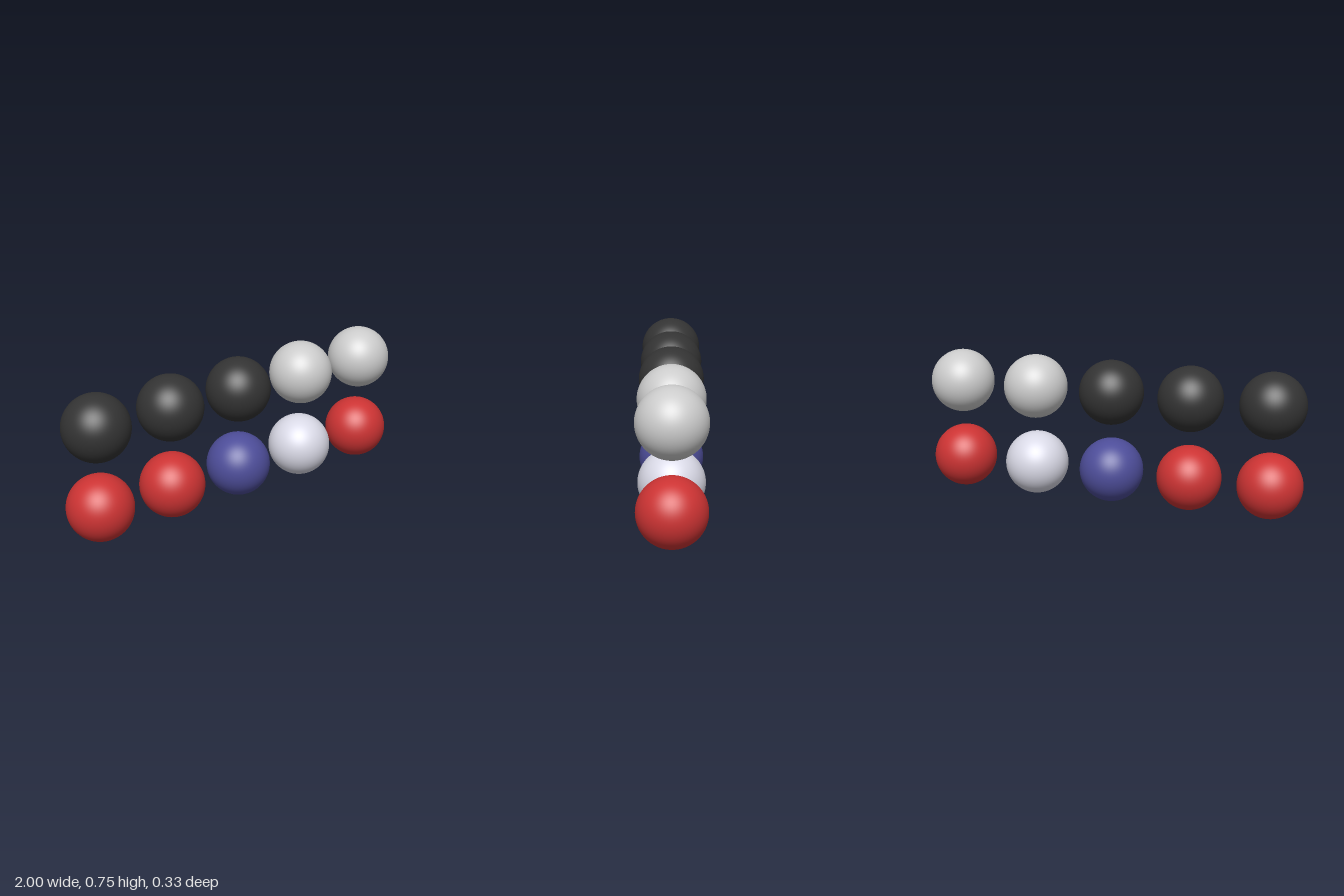
import * as THREE from 'three';

const RADIUS = 1 / 6;
const SPACING = 2.5 * RADIUS;

// Colours of each row, from -x to +x
const ROWS = [
  { name: 'lowerBall', colors: [0xcc3333, 0xcc3333, 0x4d4d99, 0xd9d9e6, 0xcc3333] },
  { name: 'upperBall', colors: [0x333333, 0x333333, 0x333333, 0xdddddd, 0xcccccc] },
];

export function createModel() {
  const model = new THREE.Group();
  model.name = 'ballGrid';
  const sphere = new THREE.SphereGeometry(RADIUS, 64, 40);

  // Two rows of five equal, evenly spaced balls
  ROWS.forEach(({ name, colors }, row) => {
    colors.forEach((color, column) => {
      const ball = new THREE.Mesh(sphere, new THREE.MeshStandardMaterial({ color }));
      ball.name = `${name}${column + 1}`;
      ball.position.set((column - 2) * SPACING, RADIUS + row * SPACING, 0);
      model.add(ball);
    });
  });

  return model;
}
